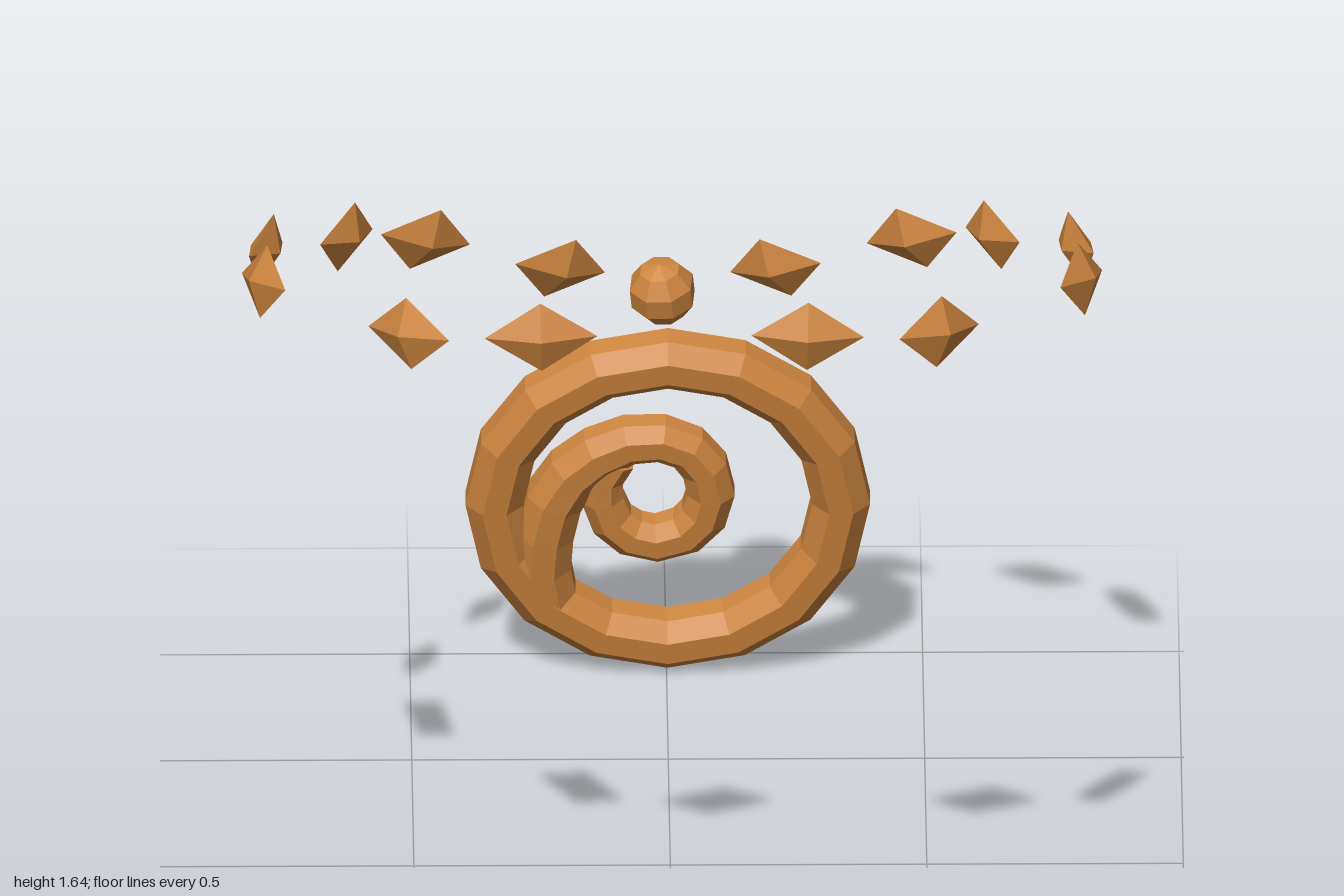
import * as THREE from 'three';

const bronze = new THREE.MeshStandardMaterial({ color: 0xcd853f });
bronze.name = 'bronze';

// Mesh with one normal per facet
function faceted(geometry, name) {
  const g = geometry.index ? geometry.toNonIndexed() : geometry;
  g.computeVertexNormals();
  const mesh = new THREE.Mesh(g, bronze);
  mesh.name = name;
  return mesh;
}

// Octagonal tube along a flat path of [x, y, radius]
function sweep(path, closed) {
  const n = path.length, sides = 8, pos = [], idx = [];
  path.forEach(([x, y, r], i) => {
    const a = path[closed ? (i + n - 1) % n : Math.max(i - 1, 0)];
    const b = path[closed ? (i + 1) % n : Math.min(i + 1, n - 1)];
    const len = Math.hypot(b[0] - a[0], b[1] - a[1]);
    const nx = (b[1] - a[1]) / len, ny = (a[0] - b[0]) / len;
    for (let k = 0; k < sides; k++) {
      const t = (k + 0.5) / sides * Math.PI * 2;
      const c = Math.cos(t) * r;
      pos.push(x + nx * c, y + ny * c, Math.sin(t) * r);
    }
  });
  for (let i = 0; i < (closed ? n : n - 1); i++) {
    for (let k = 0; k < sides; k++) {
      const p = i * sides + k, q = i * sides + (k + 1) % sides;
      const p2 = ((i + 1) % n) * sides + k, q2 = ((i + 1) % n) * sides + (k + 1) % sides;
      idx.push(p, p2, q, q, p2, q2);
    }
  }
  if (!closed) {
    const e = (n - 1) * sides;
    for (let k = 1; k < sides - 1; k++) idx.push(0, k, k + 1, e, e + k + 1, e + k);
  }
  // Turn the winding outward when the section runs the other way
  const v = i => new THREE.Vector3().fromArray(pos, i * 3);
  const [a, b, c] = [v(idx[0]), v(idx[1]), v(idx[2])];
  const normal = b.clone().sub(a).cross(c.clone().sub(a));
  const outward = a.clone().add(c).multiplyScalar(0.5).sub(new THREE.Vector3(path[0][0], path[0][1], 0));
  if (normal.dot(outward) < 0) {
    for (let i = 0; i < idx.length; i += 3) [idx[i + 1], idx[i + 2]] = [idx[i + 2], idx[i + 1]];
  }
  const g = new THREE.BufferGeometry();
  g.setAttribute('position', new THREE.Float32BufferAttribute(pos, 3));
  g.setIndex(idx);
  return g;
}

// Flattened octahedron bead: centre, long axis direction, rough up direction
function bead([center, along, up], side) {
  const flip = p => new THREE.Vector3(p[0] * side, p[1], p[2]);
  const X = flip(along).normalize();
  const Y = flip(up);
  Y.addScaledVector(X, -Y.dot(X)).normalize();
  const Z = X.clone().cross(Y);
  const mesh = faceted(new THREE.OctahedronGeometry(1).scale(0.11, 0.072, 0.031), side > 0 ? 'leftBead' : 'rightBead');
  mesh.quaternion.setFromRotationMatrix(new THREE.Matrix4().makeBasis(X, Y, Z));
  mesh.position.copy(flip(center));
  return mesh;
}

export function createModel() {
  const model = new THREE.Group();
  model.name = 'necklace';

  // Necklace beads, mirrored left and right
  const beads = [
    [[0.26, 1.572, 0.963], [1, -0.02, 0], [0, 1, 0]],
    [[0.517, 1.54, 0.872], [0.15, -0.035, -0.145], [-0.1, 1, 0]],
    [[0.797, 1.48, 0.493], [0.08, -0.05, -0.19], [-0.18, 1, -0.1]],
    [[0.79, 1.39, 0.142], [-0.065, -0.06, -0.195], [-0.2, 1, -0.15]],
    [[0.63, 1.258, -0.206], [-0.1, -0.05, -0.18], [-0.25, 1, -0.15]],
    [[0.474, 1.145, -0.442], [-0.155, -0.065, -0.1], [-0.42, 1, 0.1]],
    [[0.21, 1.008, -0.606], [-0.157, -0.062, -0.1], [-0.45, 1, 0.15]],
  ];
  for (const b of beads) for (const side of [1, -1]) model.add(bead(b, side));

  // Round bead above the pendant
  const round = faceted(new THREE.SphereGeometry(0.068, 8, 5), 'roundBead');
  round.position.set(-0.01, 0.906, -0.723);
  round.rotation.set(0.25, 0.3, 0.1);
  model.add(round);

  // Tilted spiral pendant
  const pendant = new THREE.Group();
  pendant.name = 'spiralPendant';
  pendant.position.set(0.002, 0.395, -0.872);
  pendant.rotation.x = 0.21;
  const ring = Array.from({ length: 16 }, (_, i) => {
    const t = i / 16 * Math.PI * 2;
    return [0.338 * Math.cos(t), 0.338 * Math.sin(t), 0.061];
  });
  pendant.add(faceted(sweep(ring, true), 'outerRing'));

  // Inner coil running out into the ring
  const coil = [
    [-0.10, 0.10, 0.040], [-0.125, 0.055, 0.042], [-0.127, 0.005, 0.044], [-0.108, -0.05, 0.046],
    [-0.072, -0.083, 0.048], [-0.022, -0.096, 0.049], [0.035, -0.077, 0.05], [0.07, -0.037, 0.05],
    [0.084, 0.018, 0.05], [0.072, 0.078, 0.049], [0.04, 0.122, 0.048], [-0.012, 0.145, 0.049],
    [-0.075, 0.142, 0.051], [-0.135, 0.113, 0.054], [-0.185, 0.068, 0.057], [-0.222, 0.002, 0.06],
    [-0.24, -0.08, 0.061], [-0.245, -0.16, 0.061], [-0.232, -0.235, 0.06],
  ];
  pendant.add(faceted(sweep(coil, false), 'innerCoil'));
  model.add(pendant);

  return model;
}
